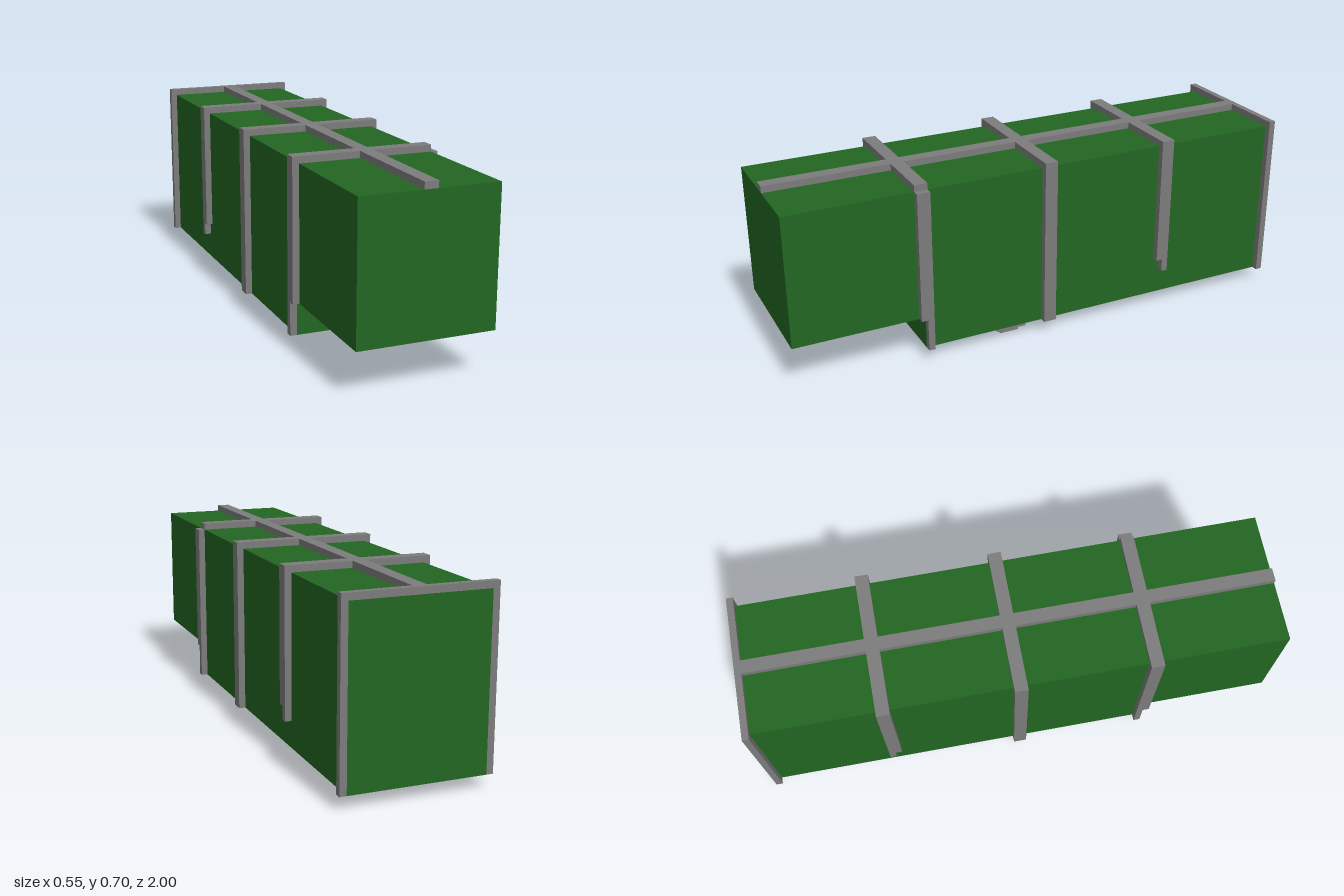
import * as THREE from 'three';

export function createModel() {
  const model = new THREE.Group();
  const green = new THREE.MeshStandardMaterial({ color: 0x226622 });
  const grey = new THREE.MeshStandardMaterial({ color: 0x7c7c7c });
  green.name = 'green paint';
  grey.name = 'grey metal';

  // Box given by its minimum and maximum on each axis
  function box(name, material, [x0, x1], [y0, y1], [z0, z1], parent = model) {
    const mesh = new THREE.Mesh(new THREE.BoxGeometry(x1 - x0, y1 - y0, z1 - z0), material);
    mesh.position.set((x0 + x1) / 2, (y0 + y1) / 2, (z0 + z1) / 2);
    mesh.name = name;
    parent.add(mesh);
  }
  // The same box on both sides of the model
  function pair(name, material, [x0, x1], y, z, parent) {
    box(name + 'Left', material, [x0, x1], y, z, parent);
    box(name + 'Right', material, [-x1, -x0], y, z, parent);
  }

  // Body: deep main hull and a shallower raised nose
  box('mainHull', green, [-0.25, 0.25], [0.05, 0.675], [-1, 0.5]);
  box('nose', green, [-0.25, 0.25], [0.175, 0.675], [0.5, 1]);

  // Spine along the roof
  box('roofSpine', grey, [-0.025, 0.025], [0.675, 0.7], [-0.975, 1]);

  // Ribs: post bottom, z range, optional narrower tip below the post
  const ribs = [
    { name: 'noseRib', bottom: 0.175, z: [0.475, 0.525], tip: [0.05, 0.475, 0.5], barEnd: 0.25 },
    { name: 'middleRib', bottom: 0.05, z: [-0.025, 0.025], barEnd: 0.275 },
    { name: 'shortRib', bottom: 0.2, z: [-0.525, -0.475], tip: [0.15, -0.525, -0.5], barEnd: 0.275 },
    { name: 'rearFrame', bottom: 0.05, z: [-1, -0.975], barEnd: 0.275 },
  ];
  for (const { name, bottom, z, tip, barEnd } of ribs) {
    const rib = new THREE.Group();
    rib.name = name;
    model.add(rib);
    box('roofBar', grey, [-0.275, barEnd], [0.675, 0.7], z, rib);
    pair('post', grey, [0.25, 0.275], [bottom, 0.675], z, rib);
    if (tip) pair('postTip', grey, [0.25, 0.275], [tip[0], bottom], [tip[1], tip[2]], rib);
  }

  // Stepped front feet
  pair('footPlate', grey, [0.1, 0.225], [0.025, 0.05], [0.08, 0.2]);
  pair('foot', grey, [0.125, 0.2], [0, 0.025], [0.1, 0.175]);

  // Small rear pads
  for (const z of [-0.425, -0.8]) {
    pair('rearPad', grey, [0.125, 0.175], [0.025, 0.05], [z - 0.025, z + 0.025]);
  }
  return model;
}
